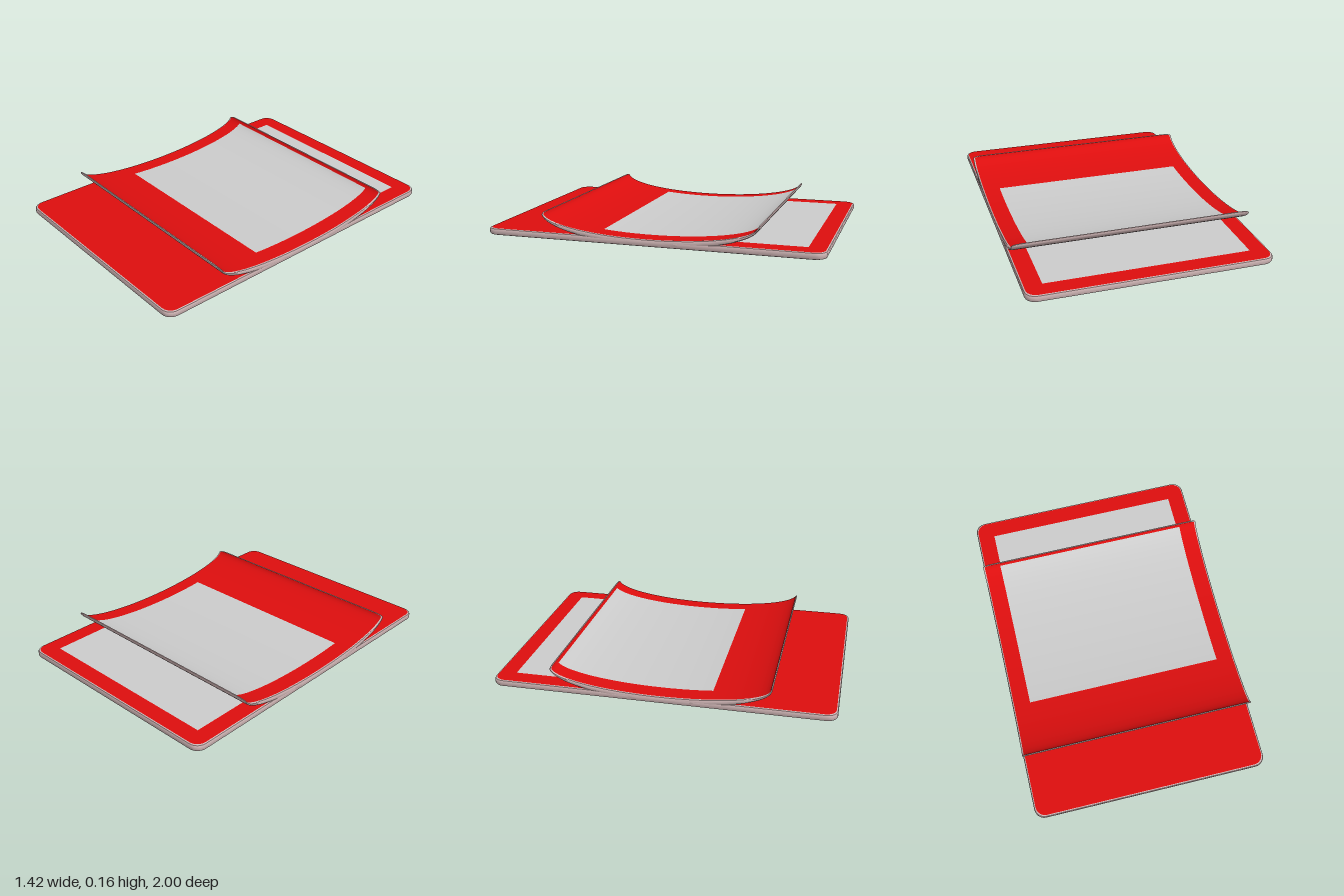
import * as THREE from 'three';
import { toCreasedNormals } from 'three/addons/utils/BufferGeometryUtils.js';

const HALF_W = 0.71, CORNER = 0.06, THICK = 0.04;

const paint = (color) => new THREE.MeshStandardMaterial({ color, side: THREE.DoubleSide });

// Placement rules: s runs along the sheet (-1..1), h through it (0 underside, 1 face)
const flat = (x, s, h) => [x, h * THICK, s];
const curled = (x, s, h) => {
  const a = s * Math.PI / 2;
  return [x, 0.155 - (0.153 - 0.04 * h) * Math.cos(a), (0.64 - 0.008 * h) * Math.sin(a)];
};

// One long side of the rounded outline, from the back end to the front end
function sideOutline() {
  const pts = [], arc = 6, rows = 40, straight = 1 - CORNER;
  for (let i = 0; i <= arc; i++) {
    const a = (i / arc) * Math.PI / 2;
    pts.push([HALF_W - CORNER + CORNER * Math.sin(a), -straight - CORNER * Math.cos(a)]);
  }
  for (let i = 1; i < rows; i++) pts.push([HALF_W, -straight + 2 * straight * i / rows]);
  return pts.concat(pts.slice(0, arc + 1).reverse().map(([x, s]) => [x, -s]));
}

function meshFrom(name, positions, material) {
  const geo = new THREE.BufferGeometry();
  geo.setAttribute('position', new THREE.Float32BufferAttribute(positions, 3));
  const mesh = new THREE.Mesh(toCreasedNormals(geo, 0.6), material);
  mesh.name = name;
  return mesh;
}

const quad = (out, a, b, c, d) => out.push(...a, ...b, ...c, ...a, ...c, ...d);

function createSheet(name, place, mats, lift) {
  const group = new THREE.Group();
  group.name = name;
  const side = sideOutline(), n = side.length;

  // Softened edge: [inset, height] of each ring, underside to face
  const rings = [[0.01, 0], [0.003, 0.08], [0, 0.25], [0, 0.75], [0.003, 0.92], [0.01, 1]]
    .map(([inset, h]) => {
      const at = (sign) => ([x, s]) => place(sign * x * (1 - inset / HALF_W), s * (1 - inset), h);
      return [...side.map(at(1)), ...side.map(at(-1)).reverse()];
    });

  // Rim and underside
  const shell = [];
  for (let k = 0; k < rings.length - 1; k++) {
    for (let i = 0; i < 2 * n; i++) {
      const j = (i + 1) % (2 * n);
      quad(shell, rings[k][i], rings[k + 1][i], rings[k + 1][j], rings[k][j]);
    }
  }
  const bottom = rings[0], top = rings[rings.length - 1], face = [];
  for (let i = 0; i < n - 1; i++) {
    const l = 2 * n - 1 - i;
    quad(shell, bottom[i], bottom[i + 1], bottom[l - 1], bottom[l]);
    quad(face, top[i], top[l], top[l - 1], top[i + 1]);
  }

  // Picture window, set toward the back so the front border is wide
  const picture = [], rows = 32, from = -0.89, to = 0.31;
  for (let i = 0; i < rows; i++) {
    const s0 = from + (to - from) * i / rows, s1 = from + (to - from) * (i + 1) / rows;
    quad(picture, place(0.6, s0, lift), place(-0.6, s0, lift), place(-0.6, s1, lift), place(0.6, s1, lift));
  }

  group.add(
    meshFrom('backing', shell, mats.backing),
    meshFrom('border', face, mats.border),
    meshFrom('picture', picture, mats.picture)
  );
  return group;
}

export function createModel() {
  const model = new THREE.Group();
  model.name = 'photoPrints';
  const mats = { backing: paint(0xccb2b2), border: paint(0xdd0e0e), picture: paint(0xcccccc) };
  model.add(
    createSheet('flatPrint', flat, mats, 1.02),
    createSheet('curledPrint', curled, mats, 1.05)
  );
  return model;
}
